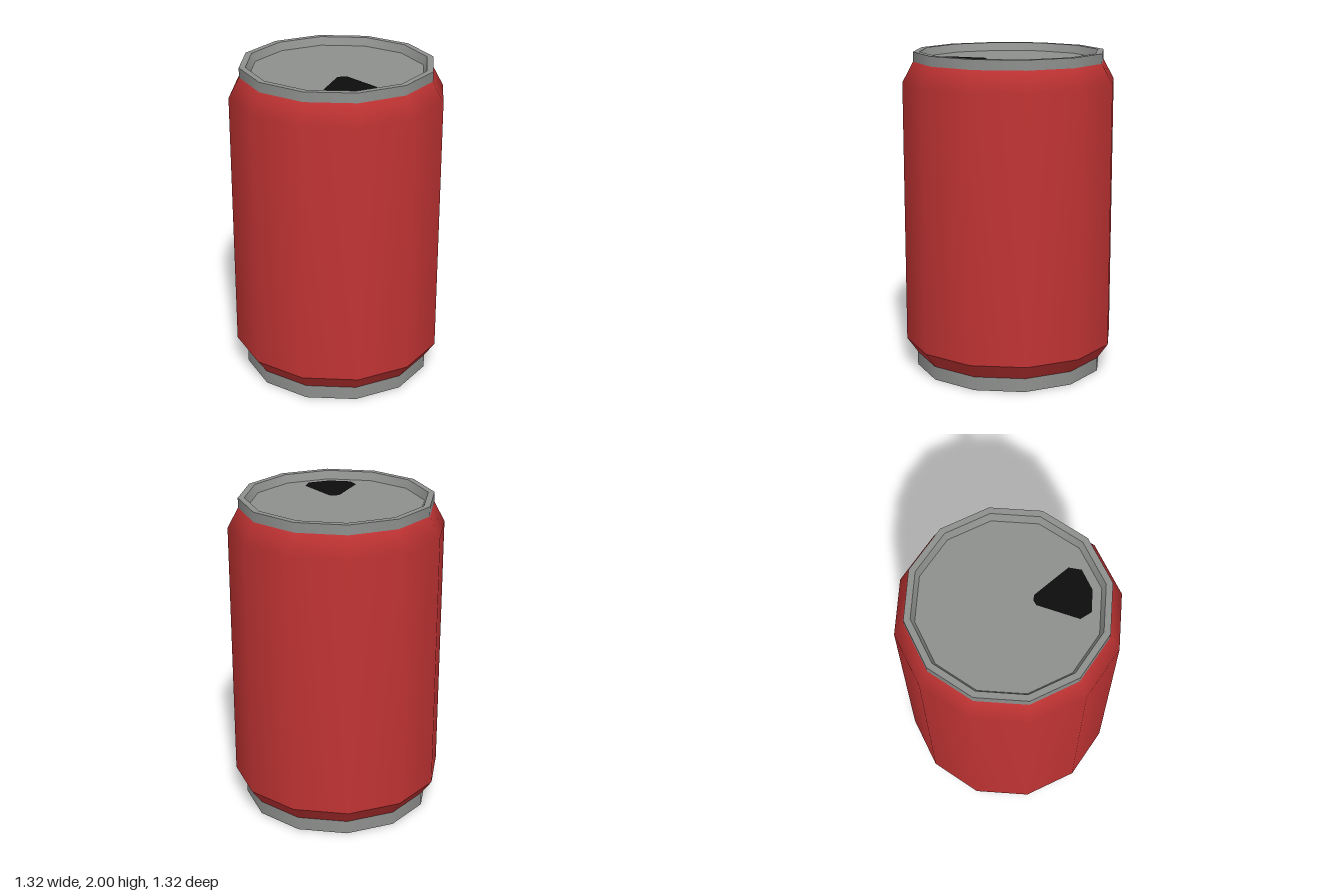
import * as THREE from 'three';

const SIDES = 12;

export function createModel() {
  const model = new THREE.Group();
  model.name = 'drinkCan';

  const red = new THREE.MeshStandardMaterial({ name: 'red paint', color: 0xc03333 });
  const metal = new THREE.MeshStandardMaterial({ name: 'bare metal', color: 0x8e908e });
  const black = new THREE.MeshStandardMaterial({ name: 'black opening', color: 0x0d0d0d });

  const add = (name, geometry, material) => {
    const mesh = new THREE.Mesh(geometry, material);
    mesh.name = name;
    model.add(mesh);
    return mesh;
  };
  // Each band is its own lathe, so edges between bands stay sharp
  const band = (name, material, ...profile) =>
    add(name, new THREE.LatheGeometry(profile.map(([r, y]) => new THREE.Vector2(r, y)), SIDES), material);
  const disc = (name, radius, y, facing) => {
    const mesh = add(name, new THREE.CircleGeometry(radius, SIDES), metal);
    mesh.rotation.x = -facing * Math.PI / 2;
    mesh.position.y = y;
  };

  // Base
  disc('baseDisc', 0.594, 0, -1);
  band('baseRing', metal, [0.594, 0], [0.594, 0.085]);

  // Painted body, with a shoulder that blends into the wall
  band('lowerTaper', red, [0.594, 0.085], [0.661, 0.18]);
  band('bodyAndShoulder', red, [0.661, 0.18], [0.661, 1.815], [0.594, 1.94]);

  // Rim and recessed lid
  band('rimOuter', metal, [0.594, 1.94], [0.594, 2]);
  band('rimTop', metal, [0.594, 2], [0.555, 2]);
  band('rimInner', metal, [0.555, 2], [0.533, 1.95]);
  disc('lid', 0.533, 1.95, 1);

  // Drinking hole, a thin plate on the lid
  const right = [[0, 0.14], [0.032, 0.152], [0.16, 0.375], [0.132, 0.446], [0, 0.48]];
  const left = right.slice(1, -1).reverse().map(([x, z]) => [-x, z]);
  const outline = [...right, ...left].map(([x, z]) => new THREE.Vector2(x, -z));
  const hole = add('drinkingHole', new THREE.ShapeGeometry(new THREE.Shape(outline)), black);
  hole.rotation.x = -Math.PI / 2;
  hole.position.y = 1.954;

  return model;
}
